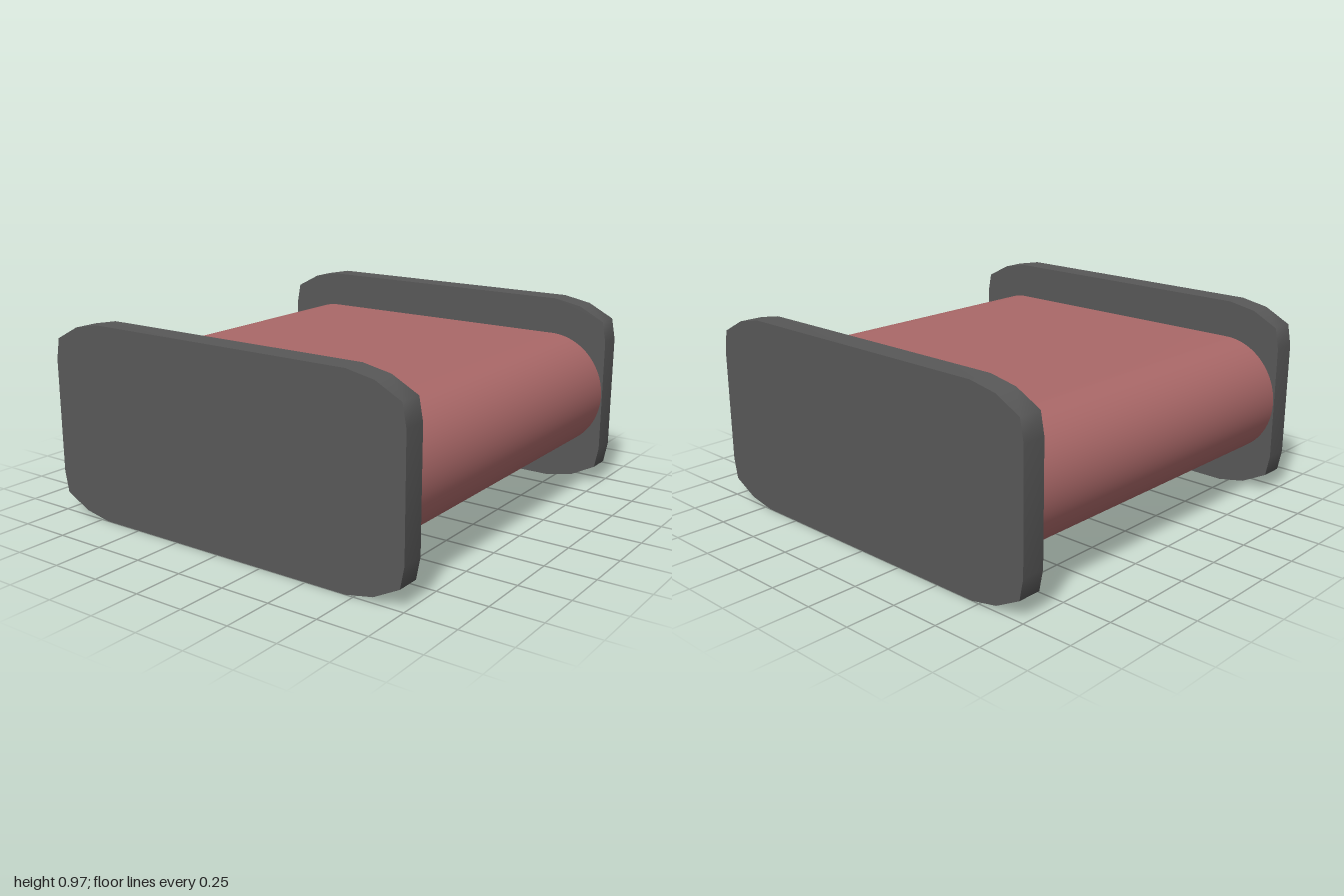
import * as THREE from 'three';
import { toCreasedNormals } from 'three/addons/utils/BufferGeometryUtils.js';

const MID_Y = 0.485;

// Extrude a side profile (drawn in z/y) along x, centred on x = 0
function extrudeAlongX(shape, width) {
  const geo = new THREE.ExtrudeGeometry(shape, { depth: width, bevelEnabled: false, curveSegments: 24 });
  geo.translate(0, 0, -width / 2);
  geo.rotateY(Math.PI / 2);
  return toCreasedNormals(geo, Math.PI / 3);
}

// Side plate outline: one faceted corner mirrored into all four
function plateShape() {
  const corner = [[1, 0.285], [0.98, 0.39], [0.85, 0.458], [0.71, 0.485]];
  const points = [];
  for (const [sx, sy] of [[1, 1], [-1, 1], [-1, -1], [1, -1]]) {
    const part = corner.map(([x, y]) => new THREE.Vector2(x * sx, y * sy));
    points.push(...(sx * sy > 0 ? part : part.reverse()));
  }
  return new THREE.Shape(points);
}

// Body outline: flat top and bottom with fully rounded ends
function bodyShape() {
  const shape = new THREE.Shape();
  const flat = 0.7, rz = 0.295, ry = 0.3;
  shape.moveTo(-flat, -ry);
  shape.lineTo(flat, -ry);
  shape.absellipse(flat, 0, rz, ry, -Math.PI / 2, Math.PI / 2, false);
  shape.lineTo(-flat, ry);
  shape.absellipse(-flat, 0, rz, ry, Math.PI / 2, Math.PI * 1.5, false);
  return shape;
}

export function createModel() {
  const group = new THREE.Group();
  group.name = 'spool';
  const plateMat = new THREE.MeshStandardMaterial({ color: 0x585858 });
  const bodyMat = new THREE.MeshStandardMaterial({ color: 0xaa6868 });

  // Rounded centre body
  const body = new THREE.Mesh(extrudeAlongX(bodyShape(), 1.76), bodyMat);
  body.name = 'body';
  body.position.y = MID_Y;
  group.add(body);

  // Two end plates
  const plateGeo = extrudeAlongX(plateShape(), 0.12);
  for (const [name, side] of [['leftPlate', 1], ['rightPlate', -1]]) {
    const plate = new THREE.Mesh(plateGeo, plateMat);
    plate.name = name;
    plate.position.set(side * 0.94, MID_Y, 0);
    group.add(plate);
  }
  return group;
}
